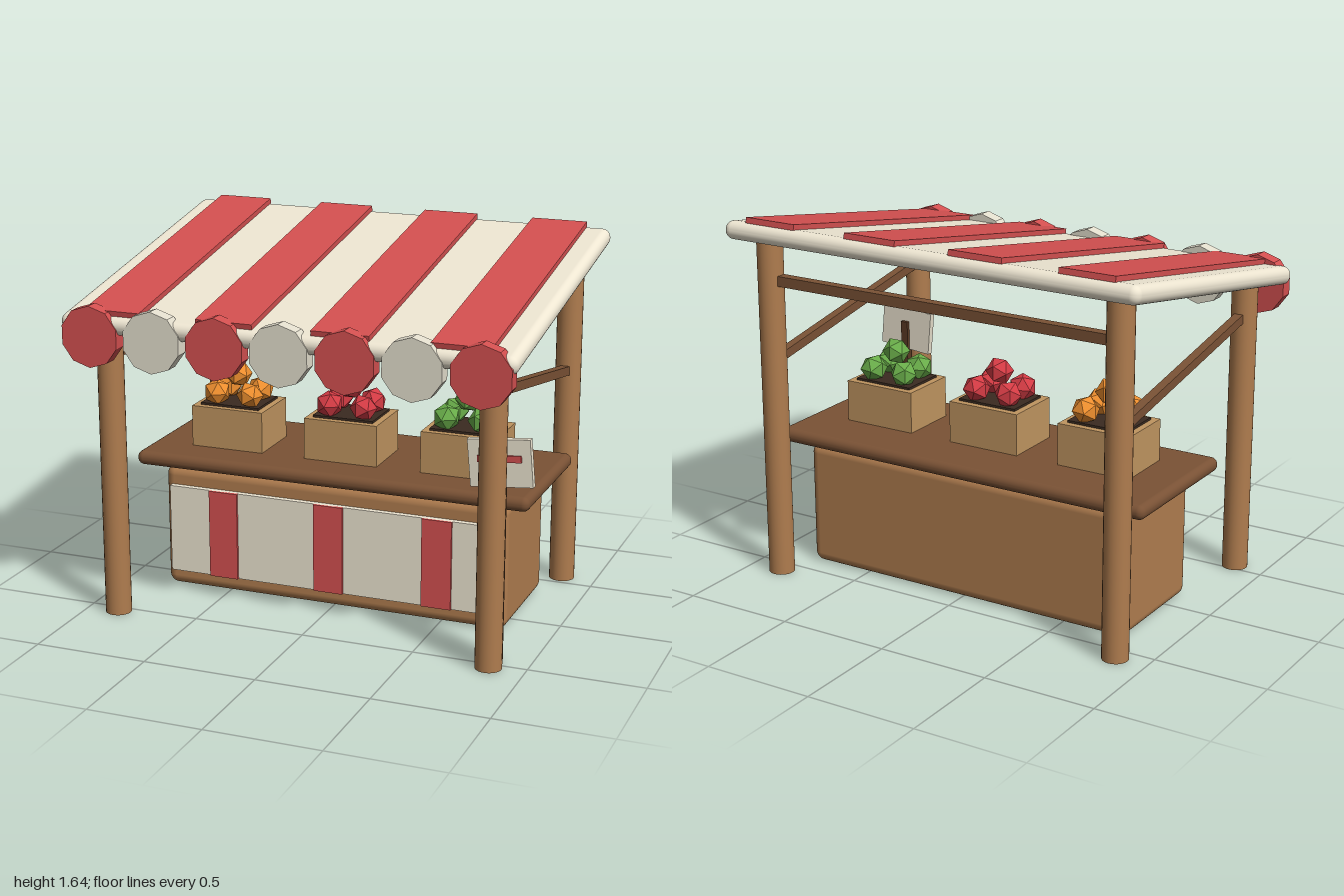
import * as THREE from 'three';
import { RoundedBoxGeometry } from 'three/addons/geometries/RoundedBoxGeometry.js';

const mat = (color, flatShading = false) => {
  const m = new THREE.MeshStandardMaterial({ color });
  m.flatShading = flatShading;
  return m;
};
const WOOD = mat(0xb07d4f), DARK_WOOD = mat(0x7a5235), CRATE = mat(0xc09560), SOIL = mat(0x3a2a20);
const CREAM = mat(0xeee6d2), RED = mat(0xd45050), STAKE = mat(0x5a3a24);
const SCALLOP = [mat(0xd45050, true), mat(0xe4dfce, true)];

function add(parent, name, geometry, material, x, y, z) {
  const mesh = new THREE.Mesh(geometry, material);
  mesh.name = name;
  mesh.position.set(x, y, z);
  parent.add(mesh);
  return mesh;
}
const box = (w, h, d) => new THREE.BoxGeometry(w, h, d);
const round = (w, h, d, r) => new RoundedBoxGeometry(w, h, d, 4, r);

// Crate heaped with four faceted fruits and one on top
function fruitCrate(color) {
  const crate = new THREE.Group();
  crate.name = 'fruitCrate';
  add(crate, 'crateBox', box(0.34, 0.19, 0.275), CRATE, 0, 0.095, 0);
  add(crate, 'crateFilling', box(0.28, 0.02, 0.215), SOIL, 0, 0.19, 0);
  const fruitMat = mat(color, true);
  const fruitGeo = new THREE.IcosahedronGeometry(0.062, 0);
  const spots = [[0, 0.32, 0], [-0.08, 0.243, -0.06], [0.08, 0.243, -0.06], [-0.08, 0.243, 0.06], [0.08, 0.243, 0.06]];
  spots.forEach(([x, y, z], i) => {
    add(crate, 'fruit', fruitGeo, fruitMat, x, y, z).rotation.y = i * 0.7;
  });
  return crate;
}

export function createModel() {
  const model = new THREE.Group();
  model.name = 'marketStall';
  const stall = new THREE.Group(); // everything symmetric about the stall's own middle
  stall.name = 'stall';
  stall.position.x = -0.006;
  model.add(stall);

  // Counter with a cloth panel on its front
  add(stall, 'counterBody', round(1.6, 0.565, 0.565, 0.045), WOOD, 0, 0.2825, -0.127);
  add(stall, 'counterTop', round(1.82, 0.065, 0.695, 0.031), DARK_WOOD, 0, 0.602, -0.128);
  add(stall, 'frontCloth', box(1.525, 0.4, 0.035), CREAM, 0, 0.28, 0.165);
  for (const x of [-0.5, 0, 0.5])
    add(stall, 'clothStripe', box(0.135, 0.4, 0.015), RED, x, 0.28, 0.186);

  // Posts and side braces
  for (const x of [-0.85, 0.85]) {
    for (const [z, h] of [[0.538, 1.35], [-0.572, 1.54]])
      add(stall, 'post', new THREE.CylinderGeometry(0.057, 0.057, h, 24), WOOD, x, h / 2, z);
    add(stall, 'sideBrace', box(0.04, 0.04, 1.08), DARK_WOOD, x, 1.083, -0.017).rotation.x = -0.172;
  }
  add(stall, 'backBeam', box(1.7, 0.045, 0.045), DARK_WOOD, 0, 1.35, -0.572);

  // Sloping awning with stripes
  const awning = new THREE.Group();
  awning.name = 'awning';
  awning.position.set(0, 1.453, 0.003);
  awning.rotation.x = THREE.MathUtils.degToRad(10);
  stall.add(awning);
  add(awning, 'awningSheet', round(1.985, 0.08, 1.445, 0.038), CREAM, 0, 0, 0);
  for (let i = 0; i < 4; i++)
    add(awning, 'awningStripe', box(0.25, 0.025, 1.39), RED, (i - 1.5) * 0.506, 0.05, -0.01);

  // Scalloped front edge
  const scallopGeo = new THREE.CylinderGeometry(0.132, 0.132, 0.065, 10).rotateX(Math.PI / 2);
  for (let i = 0; i < 7; i++)
    add(stall, 'scallop', scallopGeo, SCALLOP[i % 2], (i - 3) * 0.2835, 1.284, 0.687);

  // Fruit crates
  [0xf0902f, 0xd63c45, 0x6aae4a].forEach((color, i) => {
    const crate = fruitCrate(color);
    crate.position.set((i - 1) * 0.542, 0.63, -0.093);
    stall.add(crate);
  });

  // Price sign on a stake behind the front post
  add(model, 'signStake', box(0.035, 0.9, 0.033), STAKE, 0.856, 0.45, 0.448);
  const sign = new THREE.Group();
  sign.name = 'sign';
  sign.position.set(0.856, 0.865, 0.463);
  sign.rotation.z = 0.09;
  model.add(sign);
  add(sign, 'signBoard', box(0.265, 0.2, 0.03), CREAM, 0, 0, 0);
  add(sign, 'signBar', box(0.185, 0.028, 0.012), RED, 0, 0.02, 0.019);

  return model;
}
